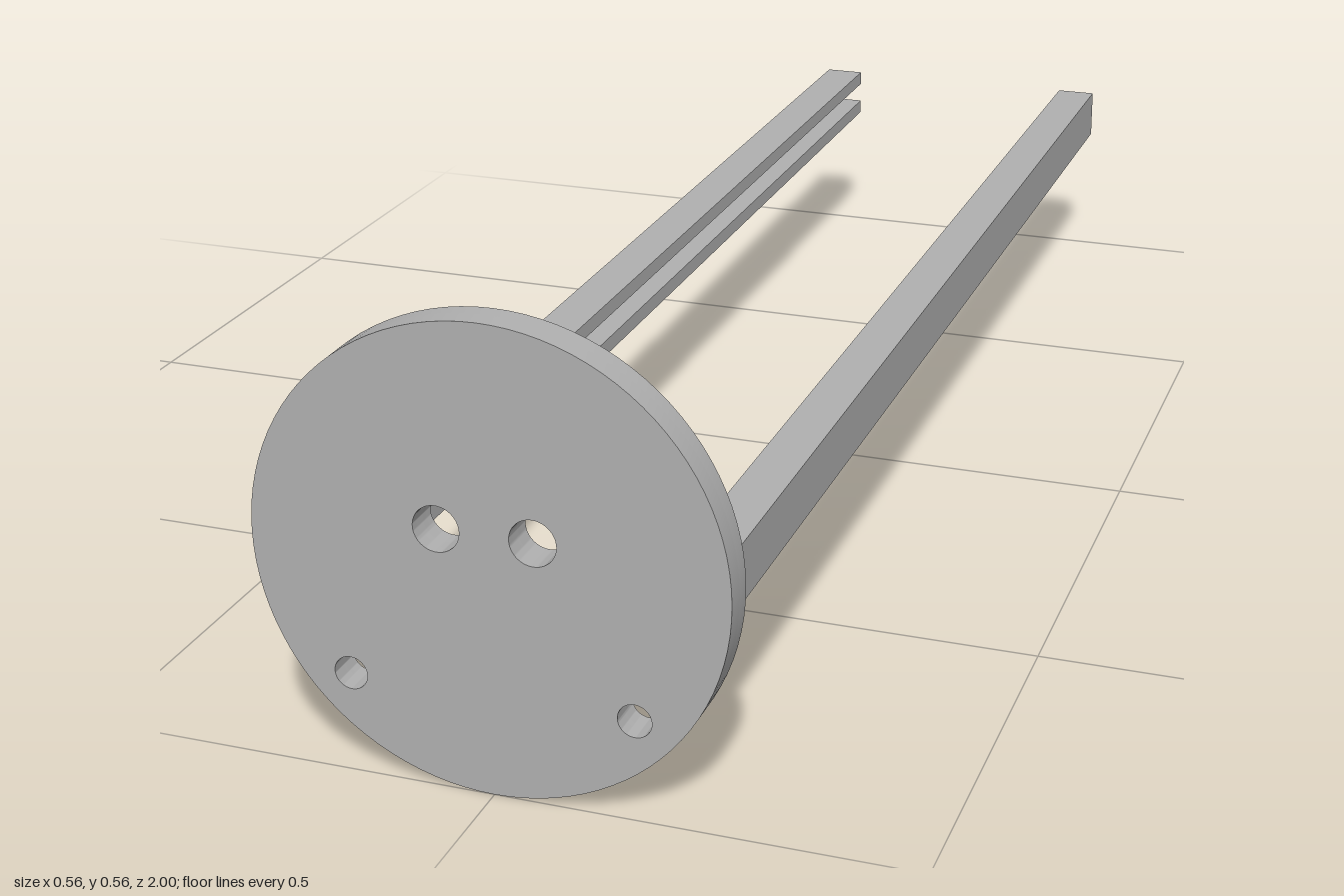
import * as THREE from 'three';
import { toCreasedNormals } from 'three/addons/utils/BufferGeometryUtils.js';

export function createModel() {
  const model = new THREE.Group();
  model.name = 'railFrame';
  const grey = new THREE.MeshStandardMaterial({ color: 0xb0b0b0 });
  grey.name = 'grey';

  // Extrudes a shape along z between two depths
  function addExtrusion(name, shape, z0, z1) {
    const geo = new THREE.ExtrudeGeometry(shape, { depth: z1 - z0, bevelEnabled: false, curveSegments: 48 });
    geo.translate(0, 0, z0);
    const mesh = new THREE.Mesh(toCreasedNormals(geo, 0.5), grey);
    mesh.name = name;
    model.add(mesh);
  }

  const polygon = (pts) => pts.map(([x, y]) => new THREE.Vector2(x, y));

  // Round end plate outline with two large and two small through holes
  const R = 0.281;
  function plateShape() {
    const shape = new THREE.Shape();
    shape.absarc(0, R, R, 0, Math.PI * 2, false);
    for (const s of [-1, 1]) {
      for (const [x, y, r] of [[0.0565, 0.317, 0.0275], [0.169, 0.123, 0.02]]) {
        const hole = new THREE.Path();
        hole.absarc(s * x, y, r, 0, Math.PI * 2, true);
        shape.holes.push(hole);
      }
    }
    return shape;
  }

  // Front layer is solid; the back layer carries the slot between the rails
  addExtrusion('endPlateFront', plateShape(), 0.975, 1);
  const slotted = plateShape();
  slotted.holes.push(new THREE.Path(polygon([
    [-0.18, 0.224], [-0.18, 0.245], [0.18, 0.245], [0.18, 0.224],
  ])));
  addExtrusion('endPlateBack', slotted, 0.955, 0.975);

  // Grooved rails, open towards the middle
  for (const [name, s] of [['leftRail', 1], ['rightRail', -1]]) {
    const section = [
      [0.179, 0.199], [0.238, 0.199], [0.238, 0.272], [0.179, 0.272],
      [0.179, 0.251], [0.211, 0.251], [0.211, 0.22], [0.179, 0.22],
    ];
    addExtrusion(name, new THREE.Shape(polygon(section.map(([x, y]) => [s * x, y]))), -1, 0.955);
  }

  return model;
}
